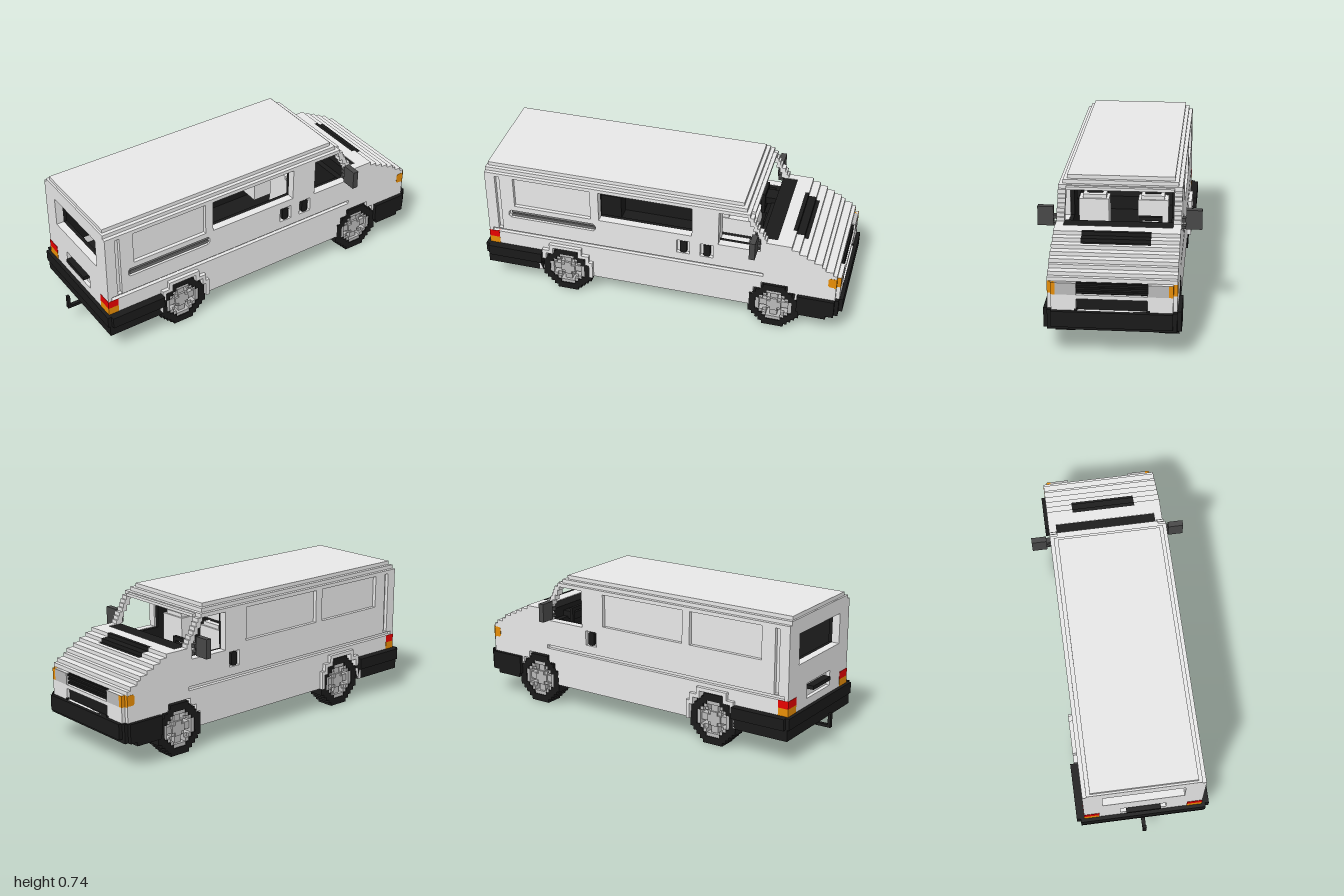
import * as THREE from 'three';
import { mergeGeometries } from 'three/addons/utils/BufferGeometryUtils.js';

const mat = (name, color) => {
  const m = new THREE.MeshStandardMaterial({ color });
  m.name = name;
  return m;
};

// Box geometry from its limits
function box(x0, x1, y0, y1, z0, z1) {
  return new THREE.BoxGeometry(x1 - x0, y1 - y0, z1 - z0)
    .translate((x0 + x1) / 2, (y0 + y1) / 2, (z0 + z1) / 2);
}
const toShape = pts => new THREE.Shape(pts.map(p => new THREE.Vector2(...p)));
const rect = (x0, x1, y0, y1) => [[x0, y0], [x1, y0], [x1, y1], [x0, y1]];
// Rectangle with cut corners
const cutRect = (x0, x1, y0, y1, c) => [[x0 + c, y0], [x1 - c, y0], [x1, y0 + c], [x1, y1 - c],
  [x1 - c, y1], [x0 + c, y1], [x0, y1 - c], [x0, y0 + c]];

// Flat plate in the xy plane with holes, spanning z0 to z1
function plate(pts, holes, z0, z1) {
  const s = toShape(pts);
  s.holes = holes.map(h => new THREE.Path(h.map(p => new THREE.Vector2(...p))));
  return new THREE.ExtrudeGeometry(s, { depth: z1 - z0, bevelEnabled: false }).translate(0, 0, z0);
}

// Stepped outline over a wheel, grown by g
function arch(cx, g = 0) {
  const half = [[-0.13 - g, 0.12], [-0.13 - g, 0.20 + g], [-0.11 - g, 0.20 + g],
    [-0.11 - g, 0.24 + g], [-0.07 - g, 0.24 + g], [-0.07 - g, 0.28 + g]];
  return [...half, ...half.map(([x, y]) => [-x, y]).reverse()].map(([x, y]) => [cx + x, y]);
}

// Staircase going forward and down: each entry is the front end of a step and its height
function stairs(steps) {
  return steps.flatMap(([x, y], i) => i ? [[steps[i - 1][0], y], [x, y]] : [[x, y]]);
}

export function createModel() {
  const van = new THREE.Group();
  van.name = 'van';
  const paint = mat('body paint', 0xe8e8e8), dark = mat('black plastic', 0x1a1a1a);
  const mirrorGrey = mat('mirror grey', 0x484848), railGrey = mat('rail grey', 0x787878);
  const rimGrey = mat('rim grey', 0xbababa), orange = mat('indicator orange', 0xe88e06);
  const red = mat('tail light red', 0xea0000);

  const add = (name, material, ...geos) => {
    const list = geos.map(g => g.index ? g.toNonIndexed() : g);
    const m = new THREE.Mesh(list.length > 1 ? mergeGeometries(list) : list[0], material);
    m.name = name;
    van.add(m);
  };
  const REAR = -0.49, FRONT = 0.642;
  const screen = [[0.50, 0.70], [0.52, 0.68], [0.53, 0.66], [0.54, 0.64], [0.55, 0.62],
    [0.57, 0.60], [0.58, 0.58], [0.59, 0.56]];
  const hood = [[0.72, 0.54], [0.76, 0.52], [0.80, 0.50], [0.84, 0.48], [0.88, 0.46],
    [0.90, 0.44], [0.94, 0.42], [0.96, 0.40], [0.98, 0.38]];
  const outline = [[-0.92, 0.12], ...arch(REAR), ...arch(FRONT), [0.90, 0.12], [0.90, 0.16],
    [0.98, 0.16], ...stairs([...screen, ...hood]).reverse(), [-0.92, 0.70]];
  const outerOutline = outline.map(([x, y]) => [Math.min(x, 0.96), y])
    .filter((p, i, a) => !i || p[0] !== a[i - 1][0] || p[1] !== a[i - 1][1]);

  // Openings and pressed recesses of the side walls
  const doorWindow = [[0.34, 0.48], [0.56, 0.48], [0.56, 0.54], [0.55, 0.54], [0.55, 0.57],
    [0.54, 0.57], [0.54, 0.60], [0.52, 0.60], [0.52, 0.63], [0.50, 0.63], [0.50, 0.66],
    [0.49, 0.66], [0.49, 0.68], [0.34, 0.68]];
  const sideWindow = rect(-0.30, 0.20, 0.505, 0.68);
  const rearPanel = rect(-0.765, -0.345, 0.505, 0.68);
  const grooves = [rect(-0.90, 0.58, 0.32, 0.34), rect(-0.865, -0.84, 0.345, 0.68)];
  const rail = cutRect(-0.80, -0.32, 0.43, 0.475, 0.012);

  for (const s of [1, -1]) {
    const side = s > 0 ? 'right' : 'left';
    const span = (a, b) => s > 0 ? [a, b] : [-b, -a];
    const handles = s > 0 ? [0.155, 0.28] : [0.28];
    const pockets = handles.map(x => rect(x - 0.035, x + 0.035, 0.385, 0.465));
    const open = s > 0 ? [doorWindow, sideWindow] : [doorWindow];
    const recess = [rearPanel, ...grooves, ...pockets, s > 0 ? rail : sideWindow];

    add(side + 'OuterWall', paint, plate(outerOutline, [...open, ...recess], ...span(0.29, 0.31)));
    add(side + 'InnerWall', paint, plate(outline, open, ...span(0.27, 0.29)));
    add(side + 'Lining', dark, plate(rect(-0.88, 0.33, 0.30, 0.70), s > 0 ? [sideWindow] : [], ...span(0.25, 0.27)),
      box(-0.33, 0.48, 0.16, 0.30, ...span(0.25, 0.27)), box(0.33, 0.56, 0.30, 0.478, ...span(0.25, 0.27)));
    add(side + 'DoorHandles', dark, ...handles.map(x =>
      plate(cutRect(x - 0.018, x + 0.018, 0.388, 0.462, 0.008), [], ...span(0.28, 0.308))));
    if (s > 0) add('slidingDoorRail', railGrey, box(-0.785, -0.325, 0.435, 0.45, 0.28, 0.302),
      box(-0.785, -0.325, 0.457, 0.47, 0.28, 0.302), box(-0.785, -0.325, 0.43, 0.475, 0.285, 0.294));

    // Raised trim over the rear wheel
    add(side + 'RearArch', paint, plate([...arch(REAR, 0.02), ...arch(REAR).reverse()], [], ...span(0.30, 0.33)));

    // Lights
    add(side + 'FrontIndicator', orange, plate(cutRect(0.918, 0.961, 0.325, 0.38, 0.008), [], ...span(0.29, 0.311)),
      box(0.95, 0.961, 0.32, 0.38, ...span(0.29, 0.31)),
      plate(rect(0.95, 0.981, 0.32, 0.38), [], ...span(0.27, 0.291)));
    add(side + 'Headlight', rimGrey, box(0.95, 0.981, 0.32, 0.38, ...span(0.17, 0.27)));
    add(side + 'TailLight', red, box(-0.922, -0.865, 0.28, 0.32, ...span(0.23, 0.311)));
    add(side + 'RearIndicator', orange, box(-0.922, -0.865, 0.24, 0.28, ...span(0.23, 0.311)));

    // Mirror on two short arms
    add(side + 'Mirror', mirrorGrey, box(0.52, 0.55, 0.50, 0.60, ...span(0.33, 0.41)),
      box(0.53, 0.56, 0.505, 0.52, ...span(0.29, 0.33)), box(0.53, 0.56, 0.54, 0.56, ...span(0.29, 0.33)));

    // Seat with headrest on a dark post block
    add(side + 'Seat', paint, box(0.22, 0.30, 0.28, 0.58, ...span(0.09, 0.21)),
      box(0.22, 0.31, 0.28, 0.56, ...span(0.075, 0.23)),
      box(0.22, 0.46, 0.26, 0.36, ...span(0.07, 0.24)), box(0.23, 0.29, 0.60, 0.66, ...span(0.09, 0.21)));
    add(side + 'HeadrestPost', dark, box(0.25, 0.27, 0.58, 0.60, ...span(0.11, 0.19)));

    // Wheel wells and wheels
    for (const [cx, end] of [[REAR, 'Rear'], [FRONT, 'Front']]) {
      add(side + end + 'Well', dark, box(cx - 0.16, cx + 0.16, 0.28, 0.30, ...span(0.17, 0.27)),
        box(cx - 0.16, cx + 0.16, 0.12, 0.30, ...span(0.17, 0.19)),
        box(cx - 0.16, cx - 0.14, 0.12, 0.30, ...span(0.17, 0.27)),
        box(cx + 0.14, cx + 0.16, 0.12, 0.30, ...span(0.17, 0.27)));
      const tyre = [], rim = [], cell = 0.0192;
      for (let j = -6.5; j < 7; j++) {
        for (let i = -6.5; i < 7; i++) {
          const d = Math.hypot(i, j);
          const lo = Math.min(Math.abs(i), Math.abs(j)), hi = Math.max(Math.abs(i), Math.abs(j));
          if (d > 7.1 || (d < 4 && lo === 1.5 && hi > 2)) continue;
          const px = cx + i * cell, py = (j + 7) * cell, h = cell / 2;
          const depth = d > 4.8 ? [0.21, 0.31] : d > 4 ? [0.22, 0.305] : d > 2 ? [0.25, 0.29] : [0.22, 0.30];
          (d > 4.8 ? tyre : rim).push(box(px - h, px + h, py - h, py + h, ...span(...depth)));
        }
      }
      add(side + end + 'Tyre', dark, ...tyre);
      add(side + end + 'Rim', rimGrey, ...rim);
      add(side + end + 'Hub', dark, box(cx - 0.03, cx + 0.03, 0.11, 0.16, ...span(0.17, 0.23)),
        box(cx - 0.04, cx + 0.04, 0.08, 0.14, ...span(0.19, 0.21)));
    }
  }

  // Stepped roof and windscreen header
  add('roof', paint, box(-0.92, 0.50, 0.69, 0.70, -0.27, 0.27), box(-0.92, 0.48, 0.70, 0.72, -0.29, 0.29),
    box(-0.91, 0.46, 0.72, 0.74, -0.27, 0.27), box(0.46, 0.52, 0.68, 0.695, -0.27, 0.27));
  add('ceiling', dark, box(-0.88, 0.46, 0.68, 0.69, -0.27, 0.27));

  // Rear wall with open window and pressed handle panel
  const rearWall = (pts, holes, x) => plate(pts, holes, -0.01, 0.01).rotateY(-Math.PI / 2).translate(x, 0, 0);
  const rearWindow = rect(-0.21, 0.21, 0.48, 0.64);
  add('rearWall', paint, rearWall(rect(-0.27, 0.27, 0.20, 0.70), [rearWindow, rect(-0.12, 0.12, 0.28, 0.36)], -0.91),
    rearWall(rect(-0.27, 0.27, 0.20, 0.70), [rearWindow], -0.89));
  add('rearLining', dark, rearWall(rect(-0.27, 0.27, 0.20, 0.68), [rearWindow], -0.87));
  add('rearHandle', dark, box(-0.94, -0.90, 0.32, 0.34, -0.09, 0.09));

  // Stepped nose with recessed grilles, and hood vent set flush
  const noseBase = [[0.64, 0.30], [0.80, 0.30], [0.80, 0.18], [0.98, 0.18]];
  const noseTop = [...stairs(hood).reverse(), [0.64, 0.54]];
  const middle = [...noseBase, [0.98, 0.24], [0.96, 0.24], [0.96, 0.30], [0.98, 0.30], [0.98, 0.32],
    [0.96, 0.32], ...stairs(hood.slice(2)).reverse(), [0.78, 0.50], [0.78, 0.48], [0.70, 0.48],
    [0.70, 0.54], [0.64, 0.54]].filter(([x, y]) => x !== 0.98 || y !== 0.38);
  add('nose', paint, plate([...noseBase, ...noseTop], [], 0.17, 0.27),
    plate([...noseBase, ...noseTop], [], -0.27, -0.17), plate(middle, [], -0.17, 0.17));
  add('hoodVent', dark, plate([[0.70, 0.48], [0.78, 0.48], [0.78, 0.50], [0.76, 0.50], [0.76, 0.52],
    [0.72, 0.52], [0.72, 0.54], [0.70, 0.54]], [], -0.17, 0.17));
  const slats = [0.325, 0.345, 0.365].map(y => box(0.95, 0.972, y, y + 0.01, -0.17, 0.17));
  add('grille', dark, box(0.95, 0.964, 0.32, 0.38, -0.17, 0.17), ...slats);
  add('lowerIntake', dark, box(0.95, 0.964, 0.24, 0.30, -0.17, 0.17),
    box(0.97, 0.982, 0.24, 0.25, -0.18, -0.165), box(0.97, 0.982, 0.24, 0.25, 0.165, 0.18));

  // Bumpers
  add('frontBumper', dark, box(0.765, 0.96, 0.14, 0.24, -0.33, 0.33), box(0.90, 0.98, 0.14, 0.24, -0.31, 0.31),
    box(0.90, 1.0, 0.16, 0.24, -0.29, 0.29), box(0.775, 0.92, 0.12, 0.14, -0.33, 0.33));
  add('rearBumper', dark, box(-0.94, -0.62, 0.18, 0.24, -0.33, 0.33), box(-0.92, -0.62, 0.18, 0.24, -0.35, 0.35),
    box(-0.93, -0.62, 0.12, 0.18, -0.33, 0.33));
  add('towHitch', dark, box(-1.0, -0.74, 0.105, 0.12, -0.01, 0.01), box(-1.0, -0.985, 0.12, 0.18, -0.01, 0.01),
    box(-0.90, -0.74, 0.11, 0.14, -0.06, 0.06));

  // Floor and underside
  add('floor', dark, box(-0.90, 0.92, 0.12, 0.16, -0.19, 0.19), box(-0.34, 0.50, 0.12, 0.16, -0.28, 0.28));
  add('axles', dark, ...[REAR, FRONT].map(x => box(x - 0.06, x + 0.06, 0.10, 0.13, -0.20, 0.20)));

  // Cabin
  add('dashboard', dark, box(0.56, 0.645, 0.28, 0.537, -0.27, 0.27), box(0.53, 0.58, 0.30, 0.48, -0.27, 0.27));
  add('steeringWheel', dark, box(0.48, 0.50, 0.52, 0.54, -0.21, -0.09), box(0.48, 0.50, 0.42, 0.44, -0.21, -0.09),
    box(0.48, 0.50, 0.44, 0.52, -0.21, -0.19), box(0.48, 0.50, 0.44, 0.52, -0.11, -0.09),
    box(0.485, 0.57, 0.47, 0.51, -0.19, -0.11));
  return van;
}
